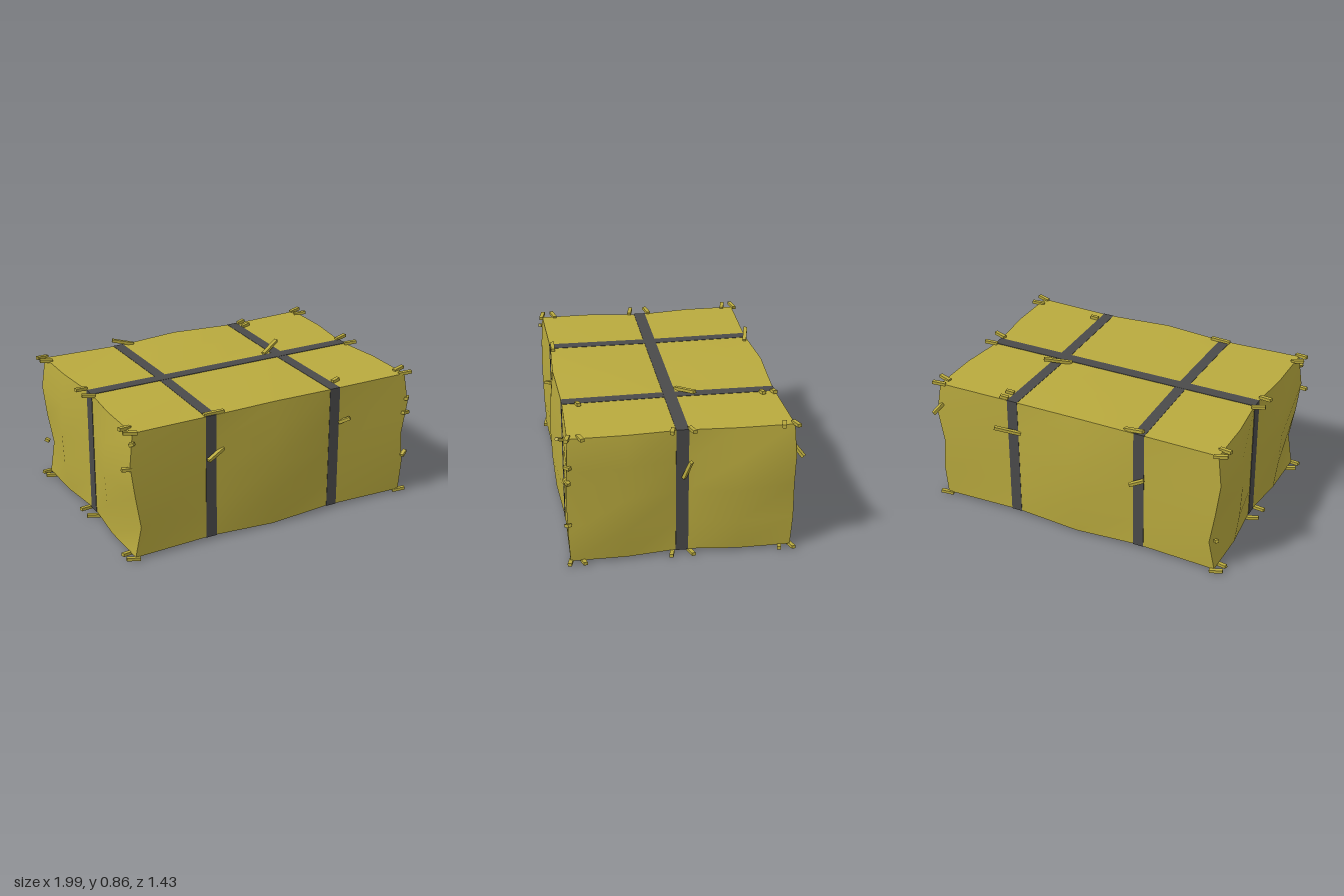
import * as THREE from 'three';

// Grid planes shared by the bale and its straps
const XS = [-0.93, -0.455, -0.385, 0, 0.4, 0.47, 0.94];
const YS = [0.025, 0.22, 0.43, 0.63, 0.828];
const ZS = [-0.65, -0.33, -0.035, 0.04, 0.33, 0.67];

// Sideways wobble of the upright corner edges, per height level
const WOBBLE_LEFT = [0, 0.01, -0.01, 0.03, 0];
const WOBBLE_RIGHT = [0, -0.035, 0, 0.025, 0];

// Box over the given planes; its outer faces bulge between straps and pinch under them
function wrappedBox(xs, ys, zs, lift) {
  const nx = xs.length - 1, ny = ys.length - 1, nz = zs.length - 1;
  const geo = new THREE.BoxGeometry(nx, ny, nz, nx, ny, nz);
  const pos = geo.attributes.position;
  for (let i = 0; i < pos.count; i++) {
    const j = Math.round(pos.getY(i) + ny / 2);
    const x = xs[Math.round(pos.getX(i) + nx / 2)];
    const y = ys[j];
    const z = zs[Math.round(pos.getZ(i) + nz / 2)];
    const mid = Math.sin(Math.PI * j / ny);
    const endX = x === XS[0] || x === XS[6];
    const endY = j === 0 || j === ny;
    const endZ = z === ZS[0] || z === ZS[5];
    const underStrapX = Math.abs(z) < 0.05;
    const underStrapZ = Math.abs(x) > 0.3 && Math.abs(x) < 0.5;
    let px = x, py = y, pz = z;
    if (endX) {
      let d = 0.035 * mid;
      if (underStrapX) d = -0.028;
      else if (endZ) d = (x > 0 ? WOBBLE_LEFT : WOBBLE_RIGHT)[j];
      px += Math.sign(x) * (d + lift);
    }
    if (endZ) {
      let d = 0.015 * mid;
      if (underStrapZ) d = -0.012;
      else if (x === 0) d = 0.005 + 0.027 * mid;
      pz += Math.sign(z) * (d + lift);
    }
    if (endY) {
      let d = 0;
      if (underStrapX || underStrapZ) d = -0.005;
      else if (x === 0) d = 0.008;
      py += (j ? 1 : -1) * (d + lift);
    }
    // cross straps draw together slightly in the middle
    if (underStrapZ && !endZ) px += (x < 0 ? 0.01 : -0.008) * (1 - Math.abs(z) / 0.66);
    pos.setXYZ(i, px, py, pz);
  }
  geo.computeVertexNormals();
  return geo;
}

export function createModel() {
  const group = new THREE.Group();
  const hay = new THREE.MeshStandardMaterial({ color: 0xb9aa3e });
  const band = new THREE.MeshStandardMaterial({ color: 0x4a4a4a });
  const add = (name, geo, mat) => {
    const mesh = new THREE.Mesh(geo, mat);
    mesh.name = name;
    group.add(mesh);
    return mesh;
  };

  // Bale and straps
  add('bale', wrappedBox(XS, YS, ZS, 0), hay);
  add('crossStrapRight', wrappedBox(XS.slice(1, 3), YS, ZS, 0.002), band);
  add('crossStrapLeft', wrappedBox(XS.slice(4, 6), YS, ZS, 0.002), band);
  add('lengthStrap', wrappedBox(XS, YS, ZS.slice(2, 4), 0.003), band);

  // Loose straw: a thin stick between two points
  const straw = (a, b, w = 0.024) => {
    const p = new THREE.Vector3(...a), q = new THREE.Vector3(...b);
    const mesh = add('straw', new THREE.BoxGeometry(w, w * 0.8, p.distanceTo(q)), hay);
    mesh.position.copy(p).add(q).multiplyScalar(0.5);
    mesh.lookAt(q);
  };

  // Straws poking out along the end edges, beside corners and the long strap
  for (const s of [-1, 1]) {
    for (const y of [0.022, 0.833]) {
      [-0.655, -0.585, -0.05, 0.065, 0.595, 0.67].forEach((z, k) => {
        const tilt = (k % 2 ? 0.01 : -0.01) * s;
        const out = k === 2 || k === 3 ? 0.975 : 0.985;
        straw([s * (out - 0.08), y - 0.004, z - tilt], [s * out, y + 0.004, z + tilt]);
      });
    }
  }

  // Straws caught under the straps and on the upright corners
  const loose = [
    [[0.34, 0.825, -0.045], [0.49, 0.86, -0.14]],
    [[-0.455, 0.86, -0.65], [-0.32, 0.825, -0.615]],
    [[-0.46, 0.83, 0.64], [-0.33, 0.832, 0.645]],
    [[-0.455, 0.555, 0.69], [-0.34, 0.6, 0.66]],
    [[0.475, 0.59, 0.655], [0.525, 0.625, 0.7]],
    [[0.38, 0.61, -0.64], [0.53, 0.65, -0.705]],
    [[-0.46, 0.52, -0.65], [-0.38, 0.49, -0.685]],
    [[0.925, 0.52, -0.005], [0.965, 0.64, -0.04]],
    [[0.93, 0.69, -0.65], [0.975, 0.63, -0.7]],
    [[0.93, 0.57, 0.69], [0.985, 0.56, 0.67]],
    [[0.94, 0.27, 0.69], [0.98, 0.29, 0.67]],
    [[0.95, 0.66, 0.69], [0.98, 0.66, 0.66]],
    [[-0.95, 0.76, 0.67], [-0.93, 0.77, 0.69]],
    [[-1.0, 0.61, 0.66], [-0.94, 0.605, 0.67]],
    [[-0.95, 0.25, -0.67], [-0.93, 0.24, -0.65]],
  ];
  for (const [a, b] of loose) straw(a, b);

  // Short stubs beside the left cross strap
  for (const z of [-0.62, -0.55, 0.57]) straw([0.47, 0.83, z], [0.52, 0.838, z - 0.01]);

  return group;
}
